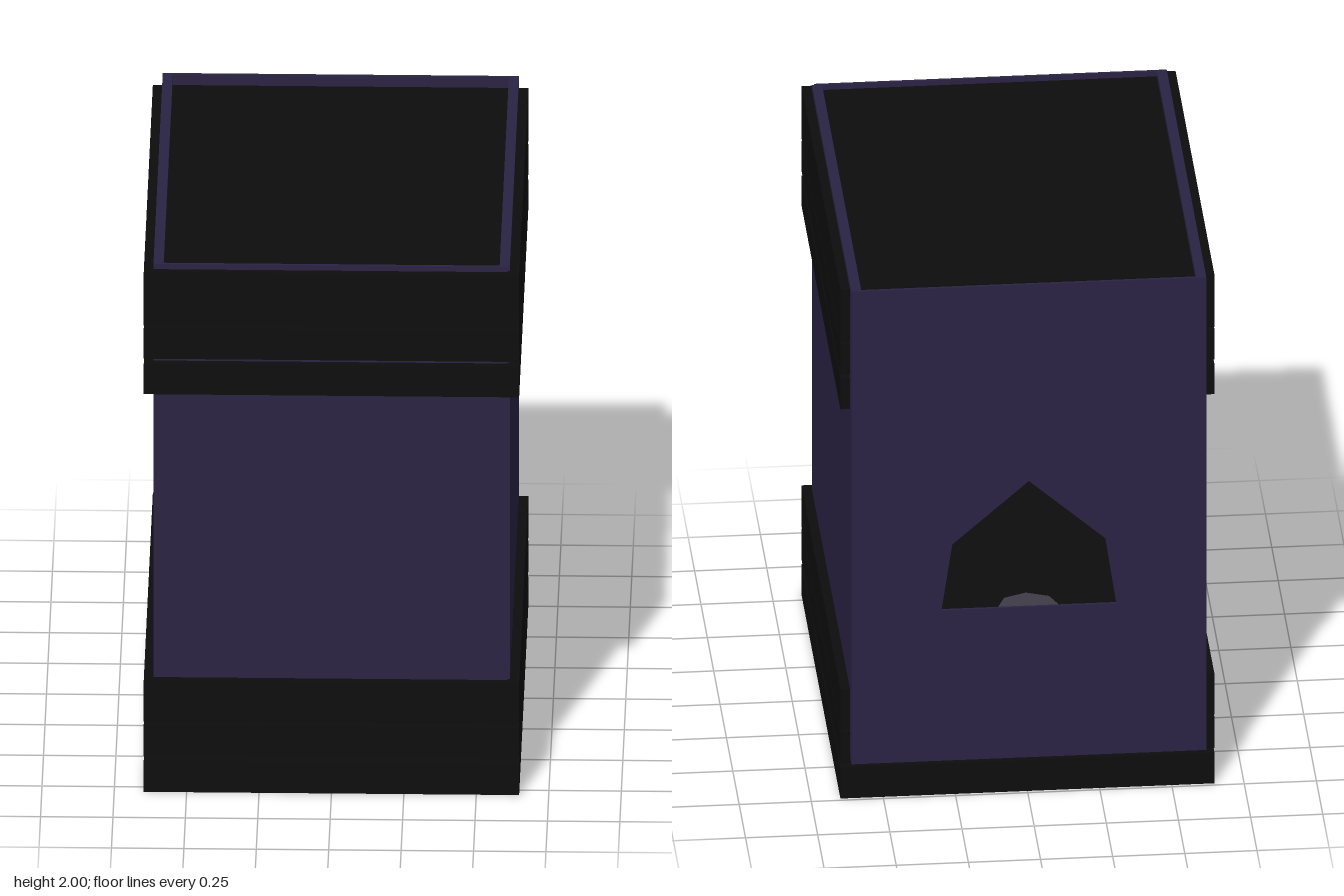
import * as THREE from 'three';

export function createModel() {
  const model = new THREE.Group();
  const mat = (color) => new THREE.MeshStandardMaterial({ color, flatShading: true });
  const black = mat(0x0d0d0d), purple = mat(0x2a2344), grey = mat(0x3e3b48);

  const add = (name, geometry, material) => {
    const mesh = new THREE.Mesh(geometry, material);
    mesh.name = name;
    model.add(mesh);
    return mesh;
  };
  // Box given by its lower and upper limits on each axis
  const box = (name, material, [x0, x1], [y0, y1], [z0, z1]) =>
    add(name, new THREE.BoxGeometry(x1 - x0, y1 - y0, z1 - z0), material)
      .position.set((x0 + x1) / 2, (y0 + y1) / 2, (z0 + z1) / 2);

  const bottom = 0.16, top = 2, half = 0.615;

  // Solid slabs stacked at the base and the top
  const slabs = [[0, 0.12], [0.137, 0.257], [0.267, 0.426], [1.515, 1.632], [1.65, 1.767], [1.777, 1.98]];
  slabs.forEach((y, i) => box(i < 3 ? 'baseSlab' : 'topSlab', black, [-0.648, 0.648], y, [-0.737, 0.79]));

  // Hollow shell: two thick sides and a thin front
  for (const s of [-1, 1]) {
    const x = s > 0 ? [0.58, half] : [-half, -0.58];
    box(s > 0 ? 'leftWall' : 'rightWall', purple, x, [bottom, top], [-0.782, 0.755]);
  }
  box('frontPanel', purple, [-half, 0.607], [bottom, top], [0.755, 0.765]);

  // Thin back panel with a five-sided opening
  const back = new THREE.Shape([[-half, bottom], [half, bottom], [half, top], [-half, top]]
    .map(([x, y]) => new THREE.Vector2(x, y)));
  back.holes.push(new THREE.Path([[-0.303, 0.745], [-0.265, 1.0], [0, 1.235], [0.265, 1.0], [0.303, 0.745]]
    .map(([x, y]) => new THREE.Vector2(x, y))));
  add('backPanel', new THREE.ExtrudeGeometry(back, { depth: 0.01, bevelEnabled: false }), purple)
    .position.z = -0.792;

  // Half-round post standing behind the back panel, below the opening
  const postTop = 0.74;
  add('post', new THREE.CylinderGeometry(0.11, 0.11, postTop - bottom, 4, 1, false, -Math.PI / 2, Math.PI), grey)
    .position.set(0, (postTop + bottom) / 2, -0.785);

  return model;
}
